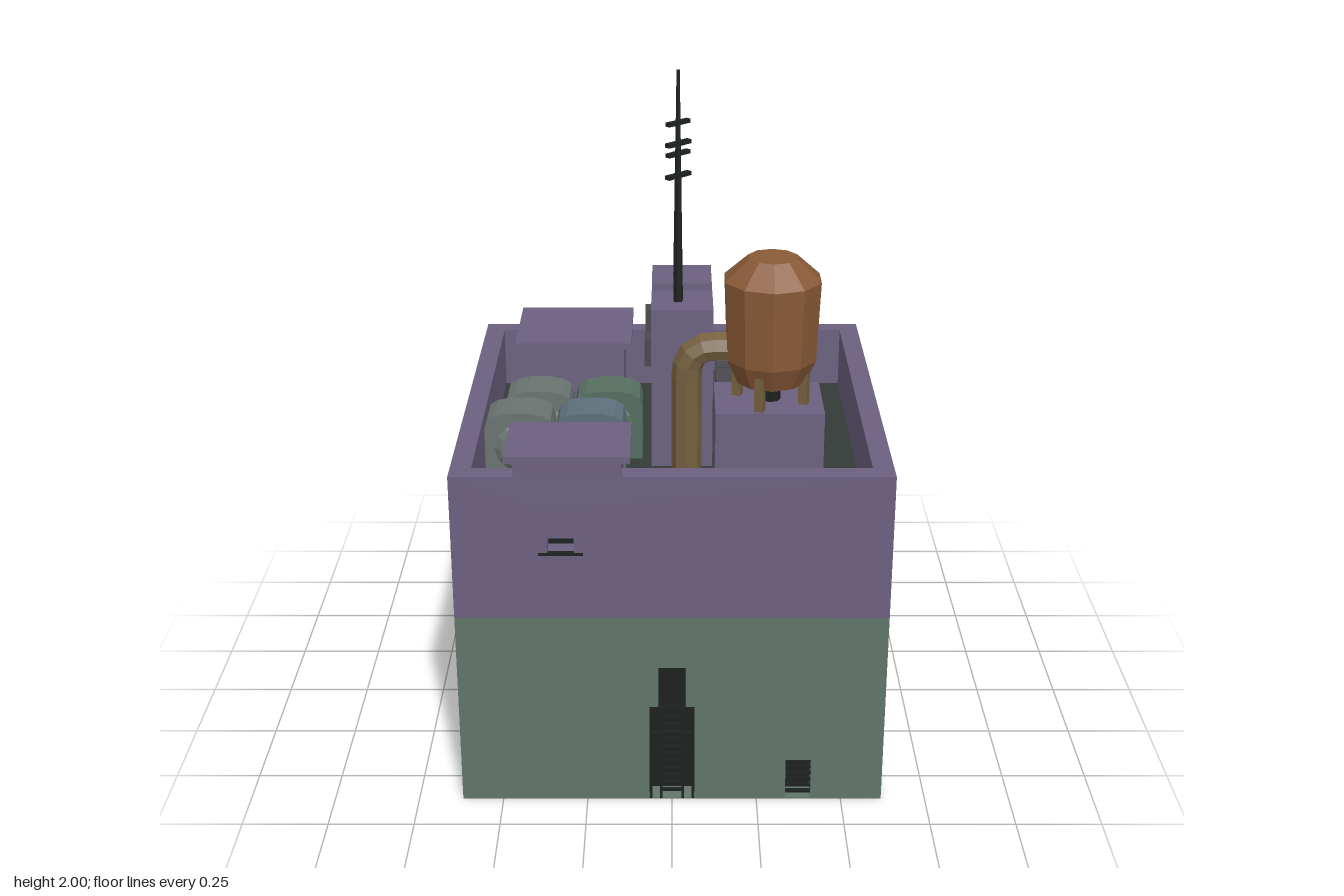
import * as THREE from 'three';

const paint = (color, extra = {}) =>
  new THREE.MeshStandardMaterial({ color, flatShading: true, ...extra });

export function createModel() {
  const root = new THREE.Group();
  const purple = paint(0x6c6180), green = paint(0x61766a), dark = paint(0x1d211f);
  const floorMat = paint(0x343a38), grey = paint(0x4a4950), rust = paint(0x8a5a38);
  const tan = paint(0x75603f), unitA = paint(0x6a7470), unitB = paint(0x566f60);
  const unitC = paint(0x5d707b);
  const FLOOR = 0.86, HALF = 0.62, WALL = 0.06, INNER = HALF - WALL;

  const add = (name, geo, mat, parent = root) => {
    const m = new THREE.Mesh(geo, mat);
    m.name = name;
    parent.add(m);
    return m;
  };
  // Box given by its limits on each axis
  const box = (name, x0, x1, y0, y1, z0, z1, mat, parent = root) => {
    const m = add(name, new THREE.BoxGeometry(x1 - x0, y1 - y0, z1 - z0), mat, parent);
    m.position.set((x0 + x1) / 2, (y0 + y1) / 2, (z0 + z1) / 2);
    return m;
  };
  const polygon = pts => new THREE.Shape(pts.map(p => new THREE.Vector2(...p)));
  const rect = (x0, x1, y0, y1) => [[x0, y0], [x1, y0], [x1, y1], [x0, y1]];

  // Wall slab with openings, from z0 to z0 + WALL
  const wall = (name, y0, y1, holes, z0, mat) => {
    const shape = polygon(rect(-HALF, HALF, y0, y1));
    holes.forEach(h => shape.holes.push(new THREE.Path(h.map(p => new THREE.Vector2(...p)))));
    add(name, new THREE.ExtrudeGeometry(shape, { depth: WALL, bevelEnabled: false }), mat)
      .position.z = z0;
  };

  // Building core and roof deck
  box('core', -INNER, INNER, 0.002, FLOOR - 0.01, -INNER, INNER, dark);
  box('roofFloor', -INNER, INNER, FLOOR - 0.01, FLOOR, -INNER, INNER, floorMat);

  // Front and back walls
  const vent = rect(0.335, 0.41, 0.003, 0.135);
  const hatch = rect(-0.04, 0.04, 0.32, 0.445);
  const doorway = [[-0.062, 0.003], [0.062, 0.003], [0.062, 0.31], [0.04, 0.31],
    [0.04, 0.445], [-0.04, 0.445], [-0.04, 0.31], [-0.062, 0.31]];
  const windowHole = rect(-0.35, -0.275, 0.815, 0.95);
  wall('frontLowerWall', 0, 0.61, [vent, doorway], INNER, green);
  wall('backLowerWall', 0, 0.61, [vent, hatch], -HALF, green);
  wall('frontUpperWall', 0.61, 1.05, [windowHole], INNER, purple);
  wall('backUpperWall', 0.61, 1.05, [windowHole], -HALF, purple);
  for (const s of [-1, 1]) {
    const a = s < 0 ? -HALF : INNER;
    box('sideLowerWall', a, a + WALL, 0, 0.61, -INNER, INNER, green);
    box('sideUpperWall', a, a + WALL, 0.61, 1.05, -INNER, INNER, purple);
    box('windowSill', -0.375, -0.25, 0.808, 0.816, s * HALF - 0.012, s * HALF + 0.004, dark);
    // Vent slats
    for (let i = 0; i < 6; i++)
      box('ventSlat', 0.335, 0.41, 0.015 + i * 0.021, 0.022 + i * 0.021,
        s * 0.605 - 0.006, s * 0.605 + 0.006, dark);
  }

  // Ladder in the front doorway
  const ladder = new THREE.Group();
  ladder.name = 'ladder';
  root.add(ladder);
  for (const x of [-0.062, -0.032, 0.032, 0.062])
    box('ladderRail', x - 0.004, x + 0.004, 0.003, 0.315, 0.585, 0.622, dark, ladder);
  for (let i = 0; i < 12; i++)
    box('ladderRung', -0.032, 0.032, 0.015 + i * 0.025, 0.022 + i * 0.025, 0.592, 0.604, dark, ladder);
  for (const y of [0.17, 0.22, 0.308])
    box('ladderHoop', -0.065, 0.065, y, y + 0.008, 0.608, 0.622, dark, ladder);

  // Roof huts, flush with the front and back walls
  const hut = (x0, x1, z0, z1, zi0, zi1) => {
    box('hutBody', x0 + 0.025, x1 - 0.025, FLOOR, 1.092, zi0, zi1, purple);
    box('hutRoof', x0, x1, 1.09, 1.11, z0, z1, purple);
  };
  hut(-0.5, -0.13, -HALF, -0.27, -HALF + 0.002, -0.3);
  hut(-0.465, -0.115, 0.37, HALF, 0.4, HALF - 0.002);

  // Chimney towers with masts
  for (const z of [-0.22, 0.03]) {
    const tower = new THREE.Group();
    tower.name = 'tower';
    tower.position.set(0.03, 0, z);
    root.add(tower);
    box('towerBody', -0.092, 0.092, FLOOR, 1.36, -0.092, 0.092, purple, tower);
    box('sidePanel', -0.113, -0.09, 1.16, 1.25, -0.03, 0.03, grey, tower);
    const mast = new THREE.Group();
    mast.name = 'mast';
    mast.position.set(-0.012, 1.36, 0.003);
    mast.rotation.y = Math.PI / 4;
    tower.add(mast);
    add('mastPole', new THREE.CylinderGeometry(0.005, 0.015, 0.64, 6), dark, mast).position.y = 0.32;
    for (const y of [0.385, 0.48])
      box('crossbar', -0.045, 0.045, y - 0.006, y + 0.006, -0.009, 0.009, dark, mast);
  }

  // Water tank on its plinth
  box('tankPlinth', 0.123, 0.433, FLOOR, 1.16, 0.187, 0.433, purple);
  const tank = new THREE.Group();
  tank.name = 'tank';
  tank.position.set(0.283, 0, 0.314);
  root.add(tank);
  const profile = [[0, 1.22], [0.1, 1.22], [0.132, 1.29], [0.142, 1.525], [0.072, 1.588], [0, 1.588]];
  add('tankShell', new THREE.LatheGeometry(profile.map(p => new THREE.Vector2(...p)), 10), rust, tank);
  add('drainPipe', new THREE.CylinderGeometry(0.03, 0.03, 0.08, 8), dark, tank).position.y = 1.19;
  for (let i = 0; i < 4; i++) {
    const a = i * Math.PI / 2 + 0.35;
    const leg = add('tankLeg', new THREE.BoxGeometry(0.026, 0.11, 0.026), tan, tank);
    leg.position.set(Math.cos(a) * 0.1, 1.21, Math.sin(a) * 0.1);
    leg.rotation.y = -a;
  }

  // Bent pipe from the roof into the tank
  const path = new THREE.CurvePath();
  const v = (x, y) => new THREE.Vector3(x, y, 0.314);
  path.add(new THREE.LineCurve3(v(0.042, FLOOR), v(0.042, 1.24)));
  path.add(new THREE.QuadraticBezierCurve3(v(0.042, 1.24), v(0.045, 1.32), v(0.12, 1.32)));
  path.add(new THREE.LineCurve3(v(0.12, 1.32), v(0.2, 1.32)));
  add('tankPipe', new THREE.TubeGeometry(path, 16, 0.044, 8, false), tan);

  // Cooling units with rounded tops and round fan housings
  const unitShape = polygon([[-0.102, 0], [0.102, 0], [0.102, 0.17], [0.094, 0.197], [0.07, 0.212],
    [0.03, 0.22], [-0.03, 0.22], [-0.07, 0.212], [-0.094, 0.197], [-0.102, 0.17]]);
  const unitGeo = new THREE.ExtrudeGeometry(unitShape, { depth: 0.13, bevelEnabled: false });
  unitGeo.translate(0, 0, -0.065);
  [[-0.405, 0.002, unitA], [-0.192, 0.002, unitB], [-0.452, 0.175, unitA], [-0.24, 0.175, unitC]]
    .forEach(([x, z, mat]) => {
      const unit = new THREE.Group();
      unit.name = 'coolingUnit';
      unit.position.set(x, FLOOR, z);
      root.add(unit);
      add('unitBody', unitGeo, mat, unit);
      for (const s of [-1, 1]) {
        const ring = add('fanHousing', new THREE.CylinderGeometry(0.055, 0.075, 0.013, 12), mat, unit);
        ring.rotation.x = s * Math.PI / 2;
        ring.position.set(0, 0.11, s * 0.071);
        const fan = add('fan', new THREE.CircleGeometry(0.045, 12), dark, unit);
        fan.rotation.y = s < 0 ? Math.PI : 0;
        fan.position.set(0, 0.11, s * 0.0785);
      }
    });

  // Air duct with a slanted mouth
  box('ductBase', 0.062, 0.31, FLOOR, 0.905, -INNER, -0.38, grey);
  const ductShape = polygon([[0.13, FLOOR], [0.56, FLOOR], [0.56, 0.94], [0.2, 0.94], [0.13, 0.87]]);
  const ductGeo = new THREE.ExtrudeGeometry(ductShape, { depth: 0.08, bevelEnabled: false });
  const duct = add('duct', ductGeo, grey);
  duct.rotation.y = Math.PI / 2;
  duct.position.x = 0.145;
  for (const z of [-0.5, -0.3])
    box('ductBand', 0.141, 0.229, FLOOR, 0.944, z - 0.005, z + 0.005, grey);
  const mouth = add('ductMouth', new THREE.BoxGeometry(0.07, 0.004, 0.085), dark);
  mouth.position.set(0.185, 0.906, -0.165);
  mouth.rotation.x = Math.PI / 4;

  return root;
}
